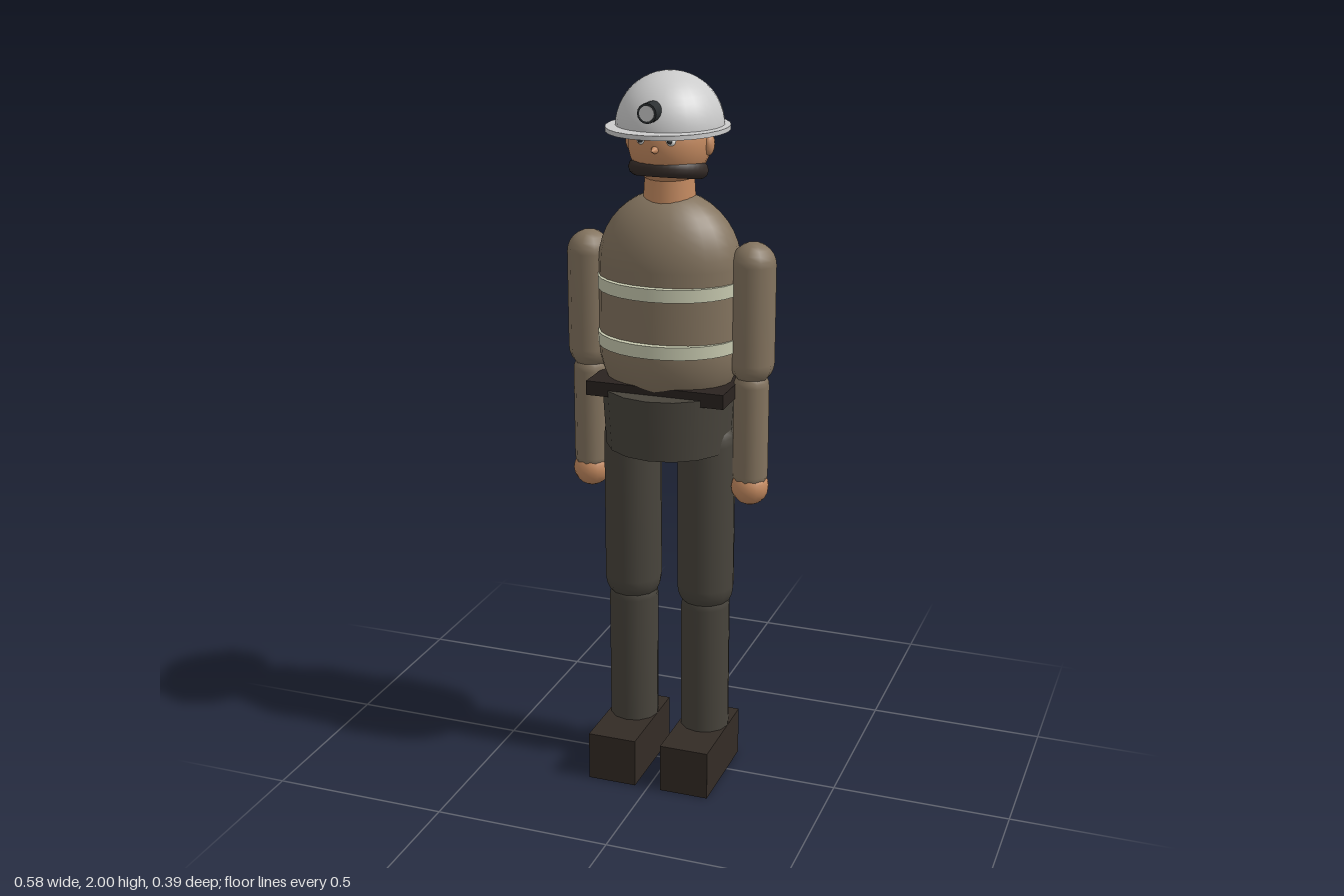
import * as THREE from 'three';

const paint = (color) => new THREE.MeshStandardMaterial({ color });

export function createModel() {
  const model = new THREE.Group();
  const skin = paint(0xc48a60), jacket = paint(0x84745f), trousers = paint(0x48443c);
  const leather = paint(0x332b25), strap = paint(0x2a2320), hair = paint(0x352c28);
  const tape = paint(0xc8cab0), shell = paint(0xcccccc), black = paint(0x2c3032), white = paint(0xf0f0ec);

  const add = (name, geometry, material, x, y, z, parent = model) => {
    const mesh = new THREE.Mesh(geometry, material);
    mesh.name = name;
    mesh.position.set(x, y, z);
    parent.add(mesh);
    return mesh;
  };

  // Round-ended limb between two heights
  const capsule = (r, bottom, top, sides, steps = 6) => {
    const points = [];
    for (let i = 0; i <= steps; i++) {
      const a = -Math.PI / 2 + (i / steps) * Math.PI / 2;
      points.push(new THREE.Vector2(i ? r * Math.cos(a) : 0, bottom + r + r * Math.sin(a)));
    }
    for (let i = 0; i <= steps; i++) {
      const a = (i / steps) * Math.PI / 2;
      points.push(new THREE.Vector2(i < steps ? r * Math.cos(a) : 0, top - r + r * Math.sin(a)));
    }
    return new THREE.LatheGeometry(points, sides);
  };

  // Torso with two reflective bands
  add('torso', capsule(0.196, 1.065, 1.69, 24, 10), jacket, 0, 0, -0.006).scale.z = 0.74;
  for (const y of [1.44, 1.285]) {
    const band = new THREE.CylinderGeometry(0.198, 0.198, 0.035, 28);
    add('reflectiveBand', band, tape, 0, y, -0.006).scale.z = 0.83;
  }

  // Hips and belt
  add('hips', new THREE.CylinderGeometry(0.185, 0.175, 0.17, 16), trousers, 0, 1.07, -0.008);
  add('belt', new THREE.BoxGeometry(0.39, 0.04, 0.26), strap, 0, 1.157, -0.01);

  // Arms and legs, mirrored
  for (const side of [1, -1]) {
    const arm = new THREE.Group();
    arm.name = side > 0 ? 'leftArm' : 'rightArm';
    arm.position.set(side * 0.233, 0, -0.009);
    add('upperArm', capsule(0.061, 1.175, 1.565, 10), jacket, 0, 0, -0.002, arm);
    add('forearm', capsule(0.048, 0.87, 1.22, 10), jacket, 0, 0, 0, arm);
    add('hand', new THREE.SphereGeometry(0.052, 14, 10), skin, 0, 0.883, 0, arm);

    const leg = new THREE.Group();
    leg.name = side > 0 ? 'leftLeg' : 'rightLeg';
    leg.position.set(side * 0.108, 0, -0.006);
    add('thigh', capsule(0.081, 0.495, 1.08, 12), trousers, 0, 0, 0, leg);
    add('shin', capsule(0.07, 0.02, 0.585, 12), trousers, 0, 0, 0, leg);
    add('boot', new THREE.BoxGeometry(0.14, 0.14, 0.29), leather, 0, 0.07, 0.041, leg);
    model.add(arm, leg);
  }

  // Neck and head
  add('neck', new THREE.CylinderGeometry(0.064, 0.072, 0.12, 18), skin, 0, 1.71, -0.006);
  add('head', new THREE.SphereGeometry(0.118, 24, 18), skin, 0, 1.82, -0.006).scale.set(0.93, 1.02, 0.98);
  for (const side of [1, -1]) {
    add('ear', new THREE.SphereGeometry(0.03, 12, 8), skin, side * 0.108, 1.815, -0.008).scale.set(0.5, 1, 0.7);
    add('eyeWhite', new THREE.SphereGeometry(0.013, 12, 8), white, side * 0.04, 1.835, 0.096);
    add('pupil', new THREE.SphereGeometry(0.007, 10, 8), black, side * 0.04, 1.835, 0.106);
  }
  add('nose', new THREE.ConeGeometry(0.014, 0.04, 10), skin, 0, 1.812, 0.117).rotation.x = Math.PI / 2;

  // Moustache wrapped round the face, ends drooping toward the jaw
  const curl = new THREE.TorusGeometry(0.085, 0.024, 10, 20, Math.PI).rotateX(Math.PI / 2);
  add('moustache', curl, hair, 0, 1.746, -0.004).rotation.x = -0.17;
  for (const side of [1, -1]) {
    const end = new THREE.CircleGeometry(0.024, 10).rotateX(Math.PI).rotateX(-0.17);
    add('moustacheEnd', end, hair, side * 0.085, 1.746, -0.004);
  }

  // Helmet: dome, oval brim and front lamp
  const dome = new THREE.SphereGeometry(0.143, 28, 12, 0, Math.PI * 2, 0, Math.PI / 2);
  add('helmetDome', dome, shell, 0, 1.857, -0.009).scale.z = 1.06;
  add('helmetBrim', new THREE.CylinderGeometry(0.162, 0.162, 0.012, 24), shell, 0, 1.856, 0.006).scale.z = 1.15;
  add('lampBody', new THREE.CylinderGeometry(0.026, 0.026, 0.055, 16), black, 0, 1.913, 0.138).rotation.x = Math.PI / 2;
  add('lampLens', new THREE.CylinderGeometry(0.02, 0.02, 0.004, 16), shell, 0, 1.913, 0.165).rotation.x = Math.PI / 2;

  return model;
}
